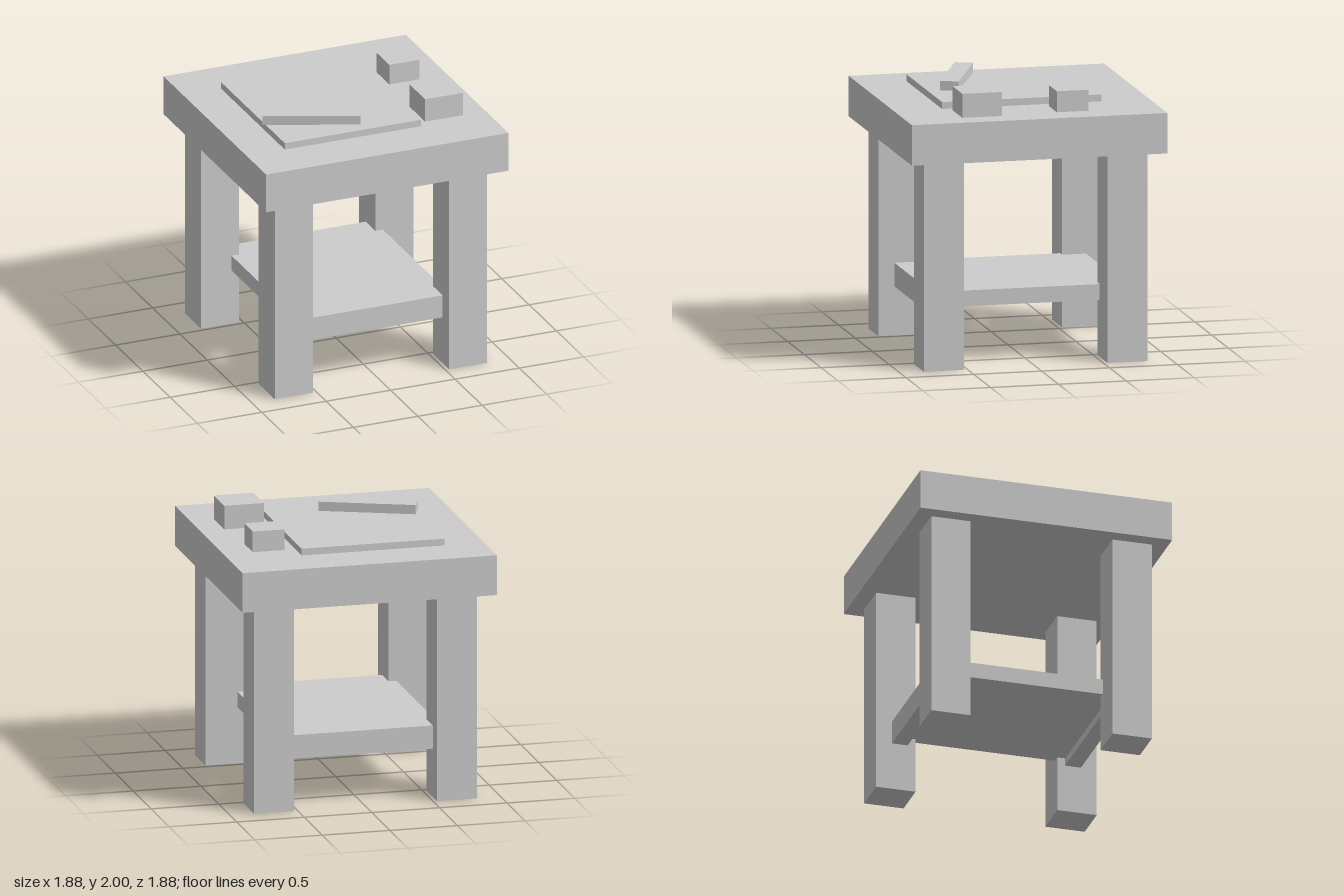
import * as THREE from 'three';

export function createModel() {
  const model = new THREE.Group();
  model.name = 'workTable';
  const lightGrey = new THREE.MeshStandardMaterial({ color: 0xcccccc });
  lightGrey.name = 'lightGrey';

  // Box given by its size, its centre in x and z, and the height of its base
  function block(name, [w, h, d], [x, base, z], turn = 0) {
    const mesh = new THREE.Mesh(new THREE.BoxGeometry(w, h, d), lightGrey);
    mesh.name = name;
    mesh.position.set(x, base + h / 2, z);
    mesh.rotation.y = turn;
    model.add(mesh);
  }

  // Thick square top
  block('tableTop', [1.882, 0.295, 1.882], [0, 1.53, 0]);

  // Four square legs
  for (const sx of [-1, 1]) {
    for (const sz of [-1, 1]) {
      block('leg', [0.295, 1.53, 0.295], [sx * 0.677, 0, sz * 0.677]);
    }
  }

  // Lower shelf with a deeper rail along its front and back
  block('shelf', [1.176, 0.115, 1.176], [0, 0.415, 0]);
  for (const sz of [-1, 1]) {
    block('shelfRail', [1.176, 0.172, 0.118], [0, 0.358, sz * 0.647]);
  }

  // Things lying on the top
  block('mat', [1.056, 0.05, 1.174], [-0.118, 1.825, 0]);
  block('bar', [0.7, 0.068, 0.135], [-0.317, 1.875, 0.3], -Math.PI / 8);
  block('largeBlock', [0.294, 0.175, 0.29], [0.617, 1.825, 0.38]);
  block('smallBlock', [0.235, 0.153, 0.233], [0.608, 1.825, -0.296]);

  return model;
}
